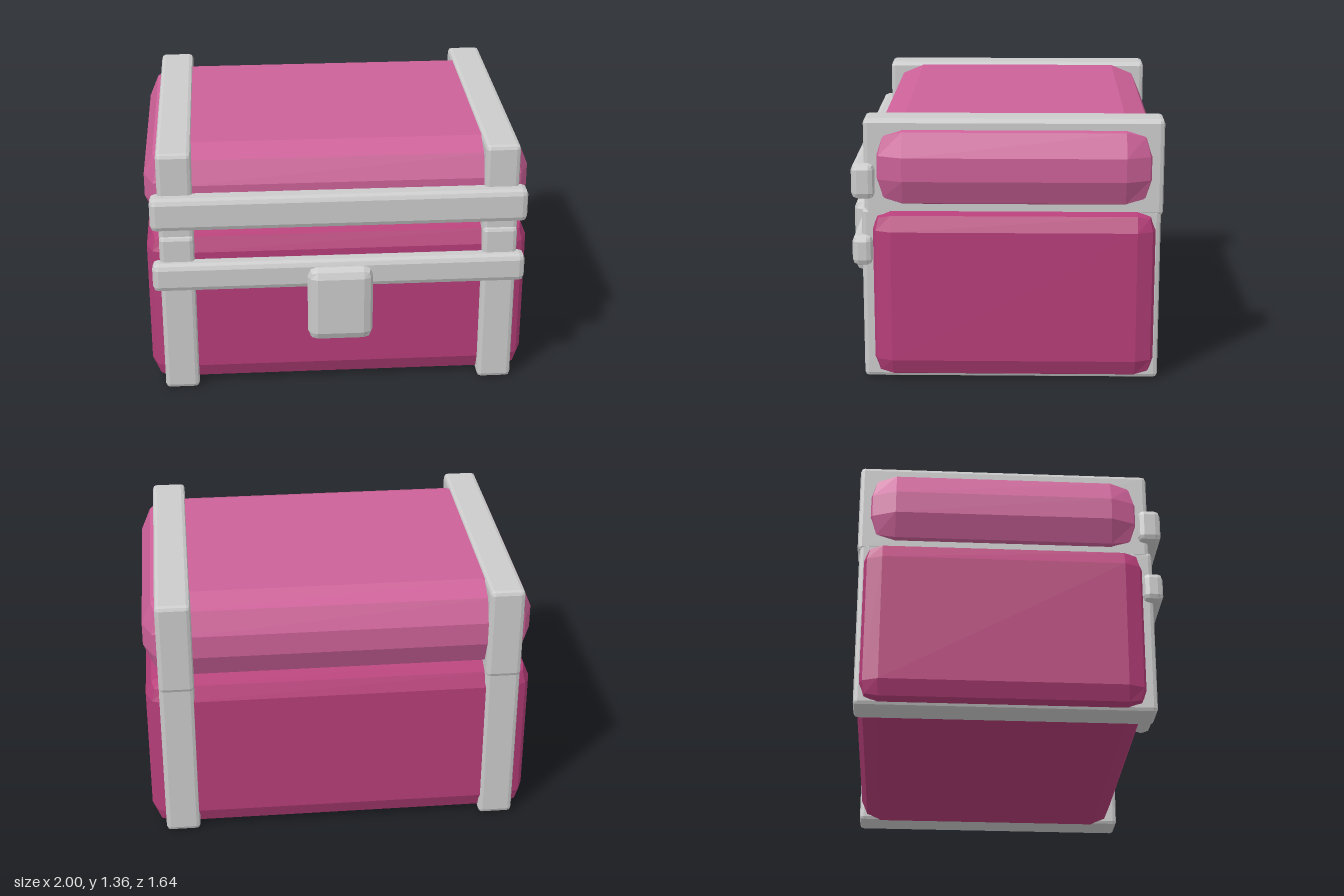
import * as THREE from 'three';
import { RoundedBoxGeometry } from 'three/addons/geometries/RoundedBoxGeometry.js';

const paint = (color) => new THREE.MeshStandardMaterial({ color, flatShading: true });

// Low-poly bevelled block given by its [min, max] extent on each axis
function block(name, [x0, x1], [y0, y1], [z0, z1], bevel, material) {
  const geometry = new RoundedBoxGeometry(x1 - x0, y1 - y0, z1 - z0, 1, bevel);
  const mesh = new THREE.Mesh(geometry, material);
  mesh.position.set((x0 + x1) / 2, (y0 + y1) / 2, (z0 + z1) / 2);
  mesh.name = name;
  return mesh;
}

export function createModel() {
  const chest = new THREE.Group();
  chest.name = 'chest';
  const metal = paint(0xcccccc);
  const bodyPaint = paint(0xb63e79);
  const lidPaint = paint(0xcc6198);

  // Wooden body and the softer, more rounded lid
  chest.add(block('body', [-1, 1], [0.003, 0.9], [-0.8, 0.655], 0.11, bodyPaint));
  chest.add(block('lid', [-1, 1], [0.88, 1.34], [-0.8, 0.655], 0.17, lidPaint));

  // Vertical bands around body and lid, one pair per side
  for (const [side, x] of [['left', [0.75, 0.93]], ['right', [-0.93, -0.75]]]) {
    chest.add(block(side + 'BodyBand', x, [0, 0.9], [-0.81, 0.695], 0.022, metal));
    chest.add(block(side + 'LidBand', x, [0.86, 1.355], [-0.82, 0.68], 0.022, metal));
  }

  // Horizontal bars across the front
  chest.add(block('lidBar', [-0.97, 0.97], [0.95, 1.13], [0.625, 0.742], 0.03, metal));
  chest.add(block('bodyBar', [-0.97, 0.97], [0.605, 0.76], [0.64, 0.742], 0.03, metal));

  // Latch plate
  chest.add(block('latch', [-0.17, 0.17], [0.325, 0.74], [0.71, 0.82], 0.05, metal));

  return chest;
}
